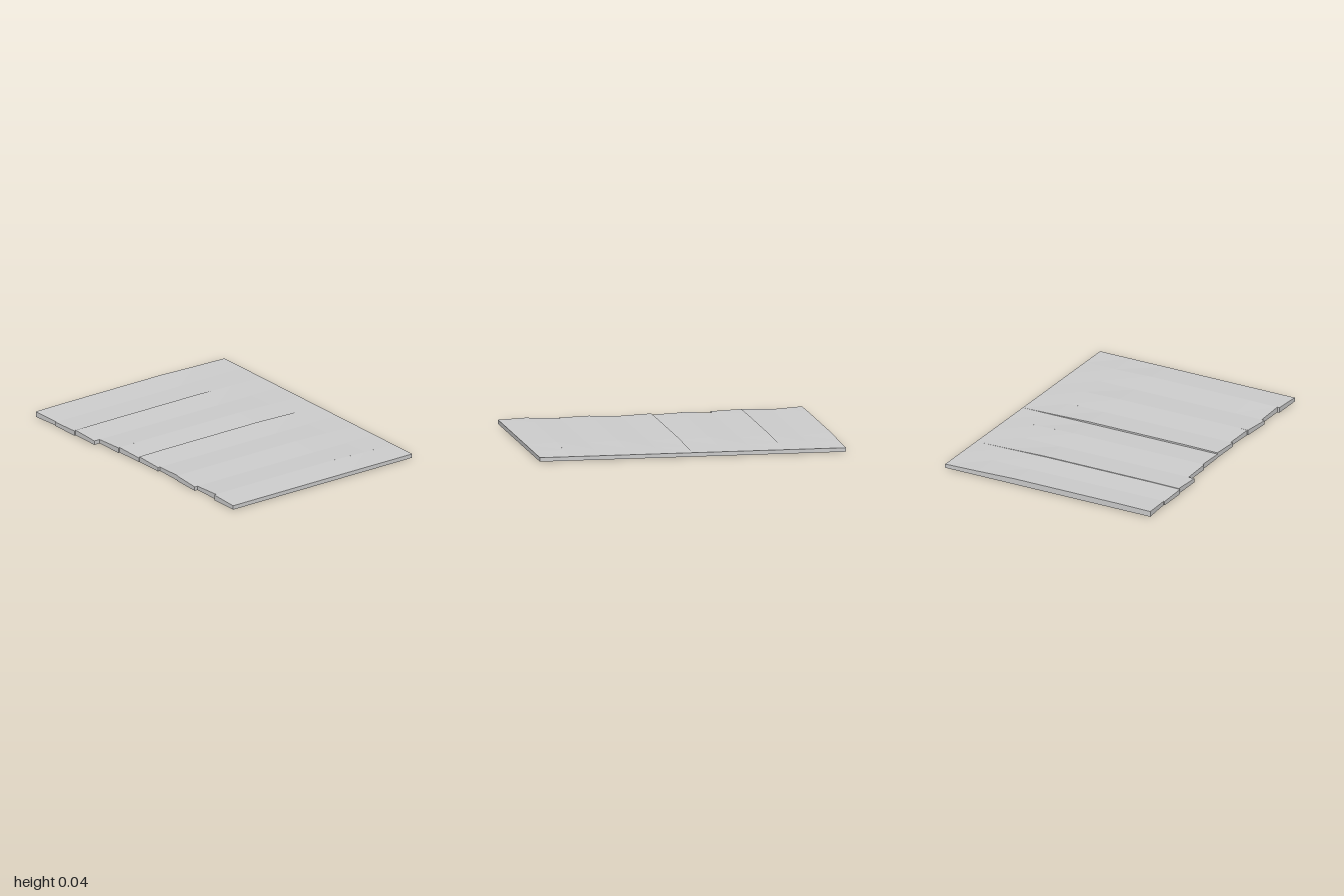
import * as THREE from 'three';

const RIGHT = 0.757, BASE = 0.026, WIDTH = 0.2;

// One row per plank, back to front:
// [left end at back edge, left end at front edge, rise at back edge, rise at front edge]
const PLANKS = [
  [-0.76, -0.745, 0.013, 0.001],
  [-0.752, -0.752, 0.001, 0.008],
  [-0.742, -0.742, 0.012, 0.001],
  [-0.70, -0.70, 0.001, 0.011],
  [-0.69, -0.685, 0.011, 0.001],
  [-0.683, -0.683, 0.012, 0.001],
  [-0.668, -0.675, 0.001, 0.011],
  [-0.68, -0.69, 0.011, 0.001],
  [-0.668, -0.668, 0.001, 0.012],
  [-0.683, -0.683, 0.012, 0.001],
];

// Ridge strength along the length: slightly lower at the ragged end, zero at the straight end
const STATIONS = [0, 0.14, 0.36, 0.66, 0.84, 1];
const STRENGTH = [0.8, 1, 1, 1, 0.4, 0];

function plankGeometry([leftBack, leftFront, riseBack, riseFront], zBack) {
  const steps = STATIONS.length - 1;
  const geo = new THREE.BoxGeometry(1, 1, 1, steps, 1, 1);
  const p = geo.attributes.position;
  for (let i = 0; i < p.count; i++) {
    const k = Math.round((p.getX(i) + 0.5) * steps);
    const front = p.getZ(i) > 0;
    const left = front ? leftFront : leftBack;
    const rise = front ? riseFront : riseBack;
    const x = left + (RIGHT - left) * STATIONS[k];
    const y = p.getY(i) > 0 ? BASE + rise * STRENGTH[k] : 0;
    p.setXYZ(i, x, y, zBack + (front ? WIDTH : 0));
  }
  geo.computeVertexNormals();
  return geo;
}

export function createModel() {
  const group = new THREE.Group();
  group.name = 'rippledSlab';
  const material = new THREE.MeshStandardMaterial({ color: 0xcccccc, flatShading: true });
  PLANKS.forEach((plank, i) => {
    const mesh = new THREE.Mesh(plankGeometry(plank, -1 + i * WIDTH), material);
    mesh.name = `plank${i + 1}`;
    group.add(mesh);
  });
  return group;
}
